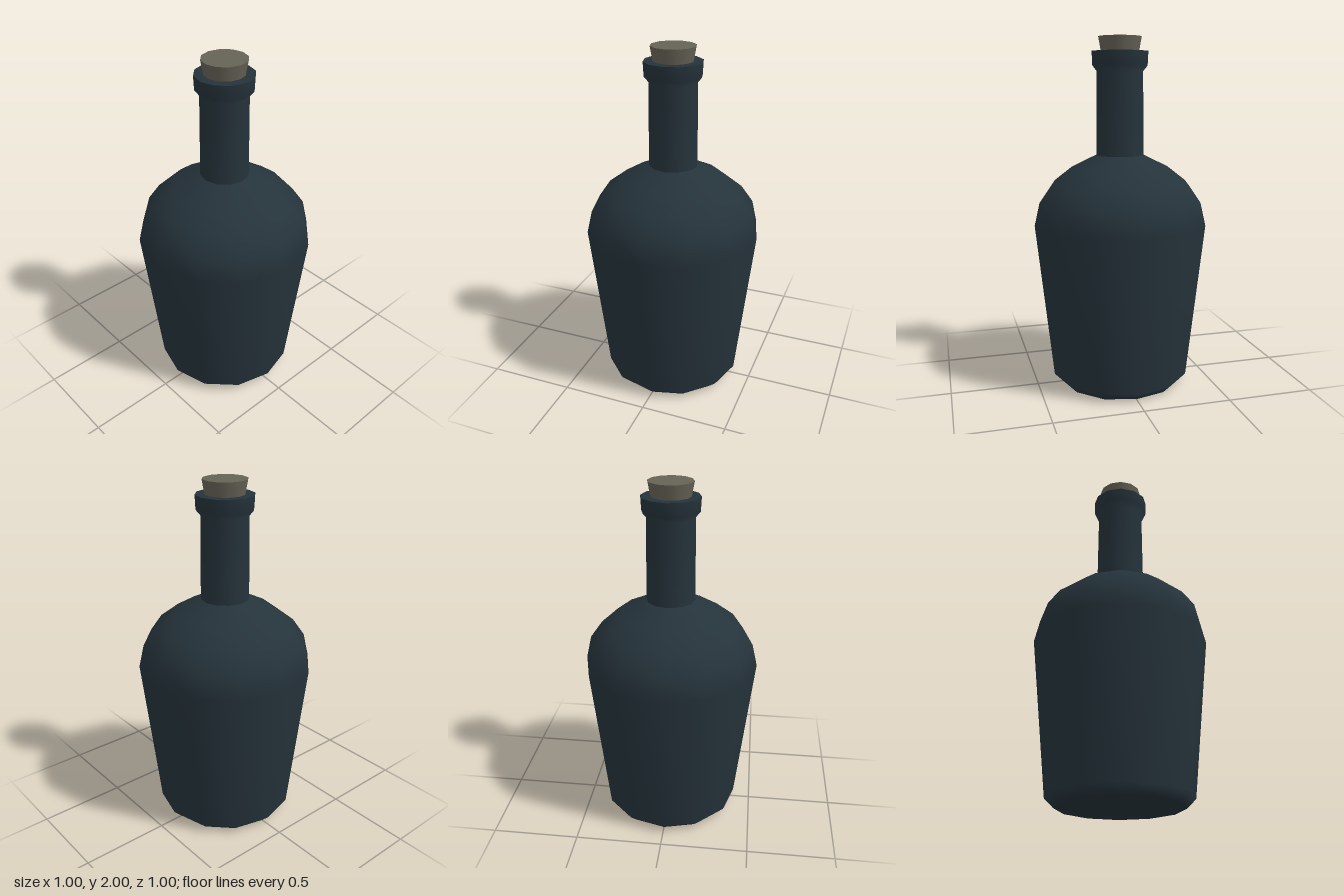
import * as THREE from 'three';

const SIDES = 12;

export function createModel() {
  const glass = new THREE.MeshStandardMaterial({ color: 0x25333b });
  glass.name = 'dark glass';
  const corkMaterial = new THREE.MeshStandardMaterial({ color: 0x666256 });
  corkMaterial.name = 'cork';

  const bottle = new THREE.Group();
  bottle.name = 'bottle';

  // Turns a profile of [radius, height] points, listed from the bottom up
  function turn(name, profile, material) {
    const points = profile.map(([r, y]) => new THREE.Vector2(r, y));
    const mesh = new THREE.Mesh(new THREE.LatheGeometry(points, SIDES), material);
    mesh.name = name;
    bottle.add(mesh);
  }

  // Base, tapered body and rounded shoulder
  turn('body', [
    [0, 0], [0.35, 0], [0.4, 0.05], [0.5, 0.95],
    [0.47, 1.08], [0.4, 1.18], [0.29, 1.265], [0.138, 1.34],
  ], glass);

  // Neck flaring into the lip
  turn('neck', [
    [0.138, 1.34], [0.134, 1.81], [0.159, 1.84], [0.163, 1.92],
  ], glass);

  // Flat rim with a sharp edge
  turn('rim', [[0.163, 1.92], [0.1, 1.92]], glass);

  // Tapered stopper, seated inside the neck
  const cork = new THREE.Mesh(
    new THREE.CylinderGeometry(0.125, 0.1, 0.14, SIDES), corkMaterial);
  cork.name = 'stopper';
  cork.position.y = 1.93;
  bottle.add(cork);

  return bottle;
}
